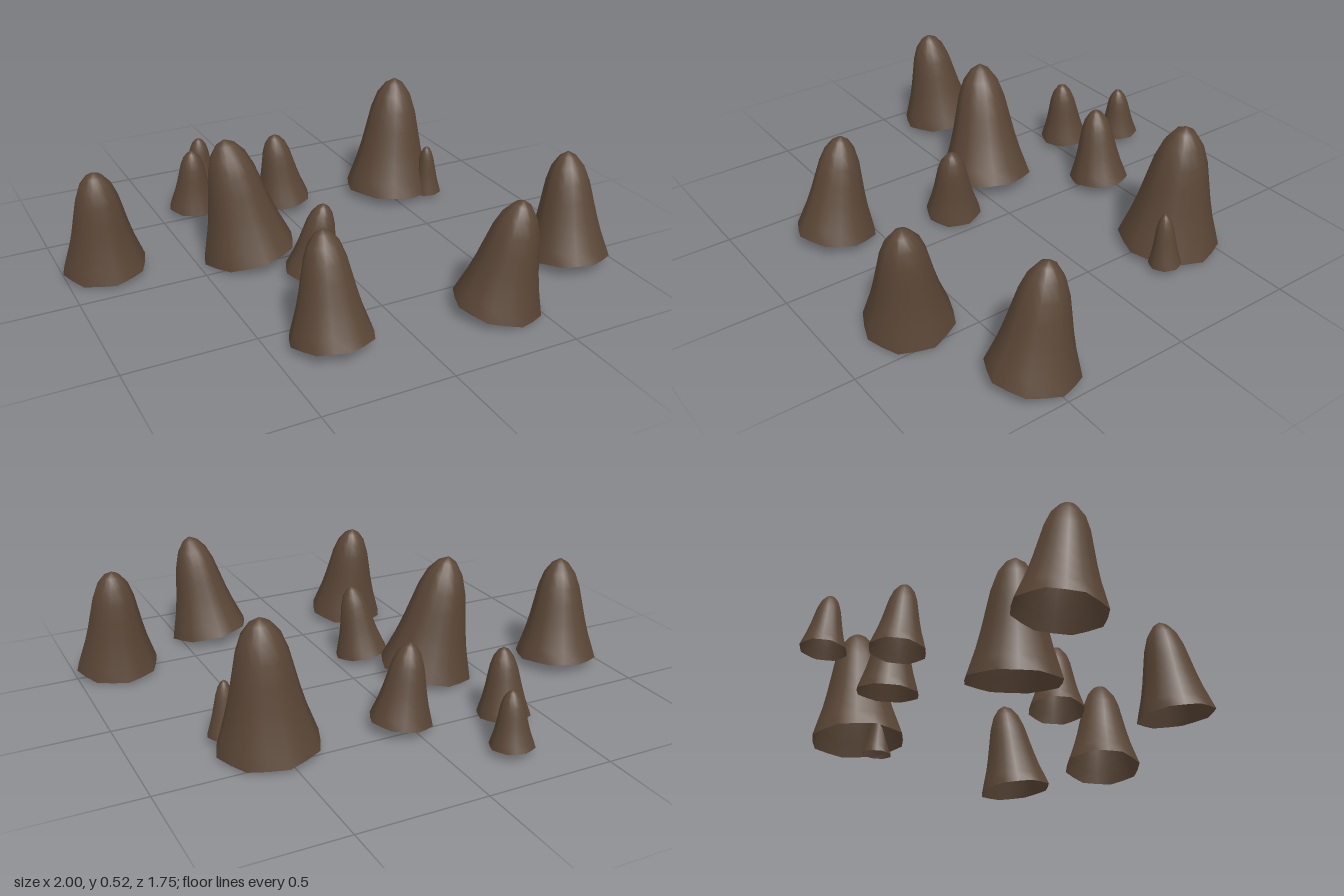
import * as THREE from 'three';
import { mergeVertices } from 'three/addons/utils/BufferGeometryUtils.js';

// Flared spire outline as [radius, height], both from 0 to 1
const PROFILE = [
  [1, 0], [0.9, 0.12], [0.79, 0.25], [0.69, 0.4], [0.6, 0.56],
  [0.51, 0.72], [0.38, 0.86], [0.2, 0.955], [0, 1],
];

// Each spire: base centre x, y, z, base radius, tip x, y, z
const SPIRES = [
  [-0.84, 0.04, -0.215, 0.165, -0.86, 0.45, -0.18],
  [-0.285, 0.042, -0.085, 0.19, -0.362, 0.515, -0.115],
  [0.53, 0.035, -0.38, 0.196, 0.556, 0.532, -0.4],
  [0.03, 0.045, -0.45, 0.122, -0.005, 0.348, -0.45],
  [-0.345, 0.037, -0.565, 0.103, -0.345, 0.3, -0.545],
  [-0.23, 0.04, -0.79, 0.084, -0.23, 0.252, -0.775],
  [-0.13, 0.036, 0.185, 0.112, -0.095, 0.325, 0.21],
  [-0.28, 0.042, 0.64, 0.158, -0.288, 0.437, 0.583],
  [0.365, 0.04, 0.705, 0.167, 0.42, 0.46, 0.745],
  [0.83, 0.042, 0.515, 0.166, 0.835, 0.46, 0.46],
  [0.65, 0.035, -0.25, 0.063, 0.638, 0.25, -0.245],
];

// Open eight-cornered shell with smooth normals and slightly bulging sides
function spireGeometry(radius, height) {
  const points = PROFILE.map(([r, h]) => new THREE.Vector2(r * radius, h * height));
  let geometry = new THREE.LatheGeometry(points, 16);
  const pos = geometry.attributes.position;
  for (let i = 0; i < pos.count; i++) {
    const side = Math.floor(i / PROFILE.length);
    const k = side % 2 ? 0.945 : 1;
    pos.setXYZ(i, pos.getX(i) * k, pos.getY(i), pos.getZ(i) * k);
  }
  geometry.deleteAttribute('uv');
  geometry.deleteAttribute('normal');
  geometry = mergeVertices(geometry, 1e-5);
  geometry.computeVertexNormals();
  return geometry;
}

export function createModel() {
  const group = new THREE.Group();
  group.name = 'stalagmites';
  const rock = new THREE.MeshStandardMaterial({ color: 0x5a4636, side: THREE.DoubleSide });
  rock.name = 'brown rock';
  const up = new THREE.Vector3(0, 1, 0);

  SPIRES.forEach(([x, y, z, radius, tx, ty, tz], i) => {
    const axis = new THREE.Vector3(tx - x, ty - y, tz - z);
    const spire = new THREE.Mesh(spireGeometry(radius, axis.length()), rock);
    spire.name = `stalagmite${i + 1}`;
    spire.position.set(x, y, z);
    // Lean the whole spire, rim included, toward its tip
    spire.quaternion.setFromUnitVectors(up, axis.normalize());
    group.add(spire);
  });
  return group;
}
